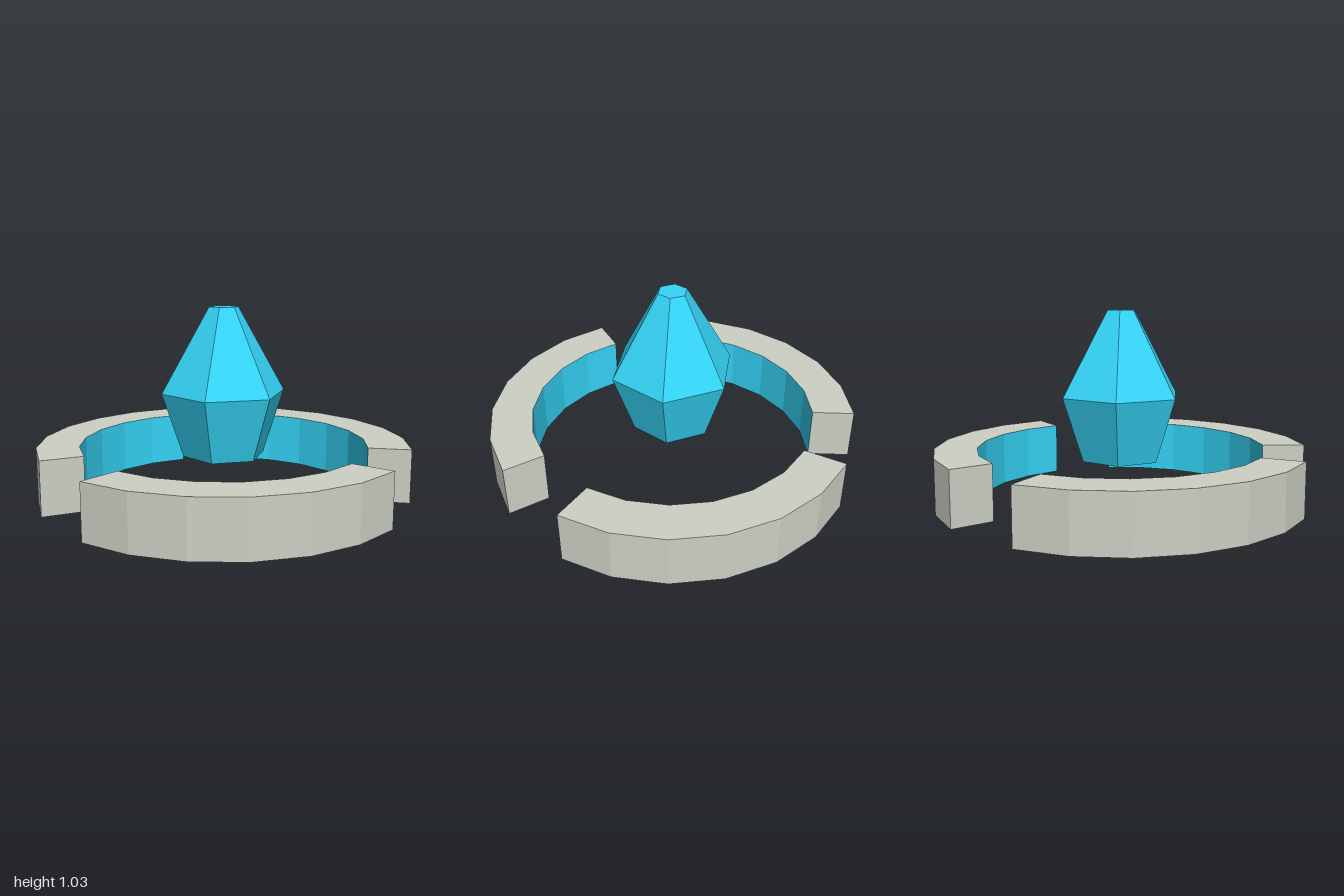
import * as THREE from 'three';
import { mergeGeometries } from 'three/addons/utils/BufferGeometryUtils.js';

const R_IN = 0.778, R_OUT = 1.006, RING_H = 0.293, SIDES = 6;
const rad = THREE.MathUtils.degToRad;

const stone = new THREE.MeshStandardMaterial({ color: 0xccd0c4, flatShading: true });
const cyan = new THREE.MeshStandardMaterial({ color: 0x35d5f8, flatShading: true });

// Faceted copy with one normal per face
function faceted(geometry) {
  const g = geometry.index ? geometry.toNonIndexed() : geometry;
  g.computeVertexNormals();
  return g;
}

function part(name, geometry, material) {
  const mesh = new THREE.Mesh(faceted(geometry), material);
  mesh.name = name;
  return mesh;
}

// Sweep a cross-section [radius, y] around the ring from angle start
function sweep(profile, start, span) {
  const points = profile.map(([r, y]) => new THREE.Vector2(r, y));
  return new THREE.LatheGeometry(points, SIDES, start + Math.PI / 2, span);
}

// Flat end of a ring segment
function endFace(angle, flip) {
  return new THREE.PlaneGeometry(R_OUT - R_IN, RING_H)
    .rotateY(flip ? Math.PI : 0)
    .translate((R_IN + R_OUT) / 2, RING_H / 2, 0)
    .rotateY(angle);
}

// One curved block: stone body with a coloured inner wall
function ringSegment(start, span) {
  const segment = new THREE.Group();
  segment.name = 'ringSegment';
  const shell = sweep([[R_IN, 0], [R_OUT, 0], [R_OUT, RING_H], [R_IN, RING_H]], start, span);
  const body = mergeGeometries([shell, endFace(start, false), endFace(start + span, true)]);
  segment.add(part('segmentBody', body, stone));
  segment.add(part('innerWall', sweep([[R_IN, RING_H], [R_IN, 0]], start, span), cyan));
  return segment;
}

// Six-sided crystal, widest at its waist
function crystal() {
  const bottom = 0.225, waist = 0.572, top = 1.03;
  const g = new THREE.CylinderGeometry(0.08, 0.225, top - bottom, 6, 2);
  const p = g.attributes.position;
  for (let i = 0; i < p.count; i++) {
    const y = p.getY(i);
    if (Math.abs(y) < 1e-4) {
      const k = 0.34 / Math.hypot(p.getX(i), p.getZ(i));
      p.setXYZ(i, p.getX(i) * k, waist, p.getZ(i) * k);
    } else {
      p.setY(i, y > 0 ? top : bottom);
    }
  }
  return part('crystal', g, cyan);
}

export function createModel() {
  const model = new THREE.Group();
  model.name = 'crystalWithRing';
  model.add(crystal());
  for (let i = 0; i < 3; i++) model.add(ringSegment(rad(5.7 + 120 * i), rad(94.5)));
  return model;
}
